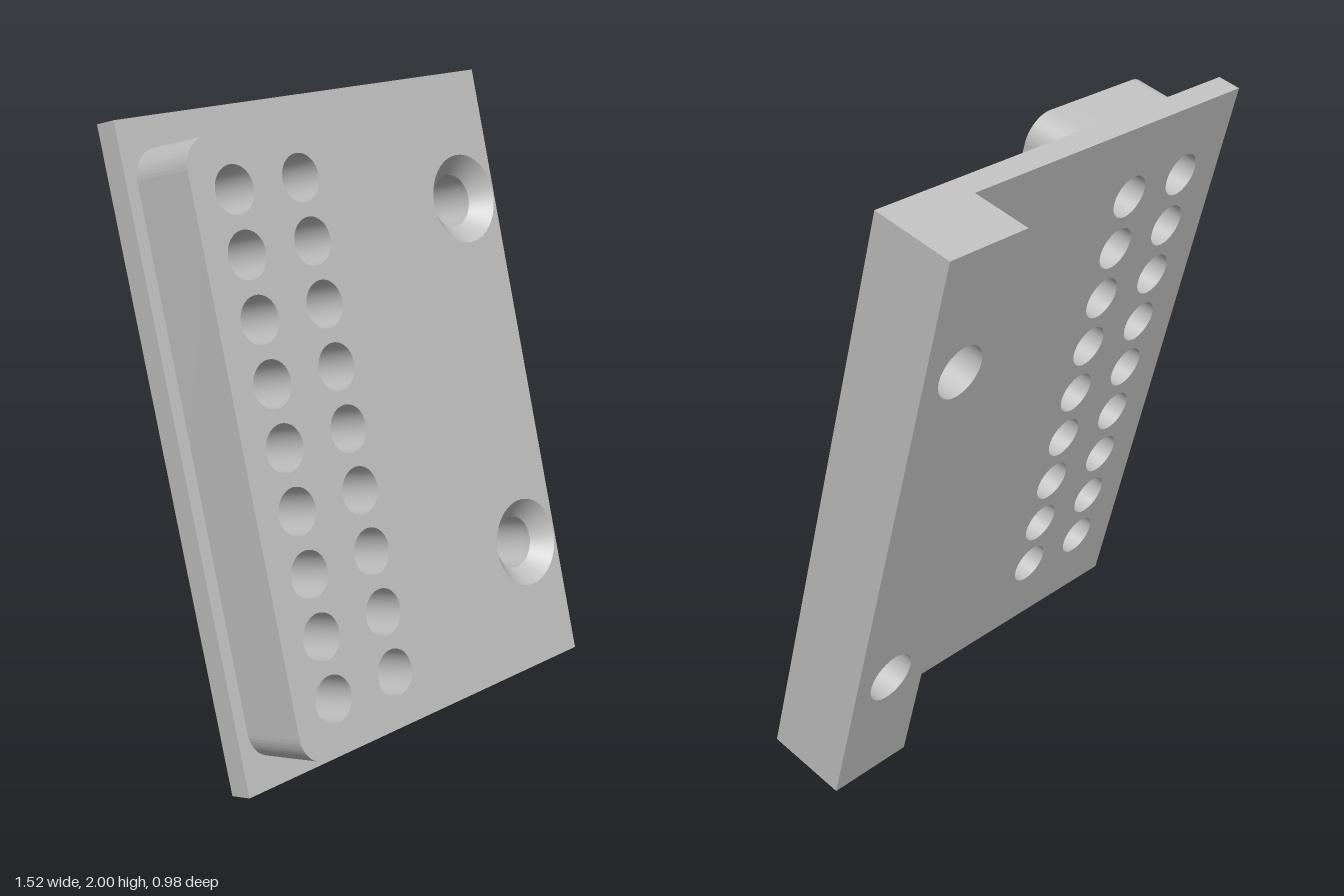
import * as THREE from 'three';
import { toCreasedNormals } from 'three/addons/utils/BufferGeometryUtils.js';

const HEIGHT = 1.997, MID = HEIGHT / 2;   // plate length along its slope
const PLATE = 0.078, RAIL = 0.197;        // plate thickness, extra rail thickness
const PAD = 0.228;                        // pad thickness
const BORE = 0.086, SINK = 0.145;         // screw hole and countersink radii
const SCREW_X = 0.61, SCREW_YS = [MID - 0.585, MID + 0.585];

// Rectangle with optional rounded corners
function rectangle(x0, x1, y0, y1, r = 0) {
  const s = new THREE.Shape();
  if (r === 0) {
    s.moveTo(x0, y0).lineTo(x1, y0).lineTo(x1, y1).lineTo(x0, y1);
  } else {
    s.absarc(x1 - r, y0 + r, r, -Math.PI / 2, 0);
    s.absarc(x1 - r, y1 - r, r, 0, Math.PI / 2);
    s.absarc(x0 + r, y1 - r, r, Math.PI / 2, Math.PI);
    s.absarc(x0 + r, y0 + r, r, Math.PI, Math.PI * 1.5);
  }
  s.closePath();
  return s;
}

function addHole(shape, x, y, r) {
  shape.holes.push(new THREE.Path().absarc(x, y, r, 0, Math.PI * 2, true));
}

// Two columns of nine round holes
function addGrid(shape) {
  for (const x of [-0.565, -0.308]) {
    for (let i = -4; i <= 4; i++) addHole(shape, x, MID + i * 0.1864, 0.072);
  }
}

export function createModel() {
  const model = new THREE.Group();
  model.name = 'tiltedHolePlate';
  const grey = new THREE.MeshStandardMaterial({ color: 0xc0c0c0, side: THREE.DoubleSide });
  grey.name = 'light grey';

  // Everything is built upright, then leaned back 15 degrees
  const body = new THREE.Group();
  body.name = 'leaningBody';
  body.rotation.x = -Math.PI / 12;
  body.position.set(0, 0.071, 0.294);
  model.add(body);

  const add = (name, geometry) => {
    const mesh = new THREE.Mesh(toCreasedNormals(geometry, 0.6), grey);
    mesh.name = name;
    body.add(mesh);
    return mesh;
  };
  const slab = (name, shape, z, depth) => {
    const g = new THREE.ExtrudeGeometry(shape, { depth, bevelEnabled: false, curveSegments: 20 });
    add(name, g.translate(0, 0, z));
  };

  // Thin main plate, front surface at z = 0
  const plate = rectangle(-0.76, 0.76, 0, HEIGHT);
  addGrid(plate);
  for (const y of SCREW_YS) addHole(plate, SCREW_X, y, SINK);
  slab('plate', plate, -PLATE, PLATE);

  // Thick mounting rail behind one edge
  const rail = rectangle(0.455, 0.76, 0, HEIGHT);
  for (const y of SCREW_YS) addHole(rail, SCREW_X, y, BORE);
  slab('mountingRail', rail, -PLATE - RAIL, RAIL);

  // Raised pad with rounded corners
  const pad = rectangle(-0.72, -0.147, 0.092, HEIGHT - 0.092, 0.09);
  addGrid(pad);
  slab('raisedPad', pad, 0, PAD);

  // Countersunk linings of the screw holes, wound to face inward
  const profile = [[SINK, 0], [BORE, BORE - SINK], [BORE, -PLATE]]
    .map(([r, y]) => new THREE.Vector2(r, y));
  for (const y of SCREW_YS) {
    const lining = new THREE.LatheGeometry(profile, 40);
    add('countersink', lining.rotateX(Math.PI / 2).translate(SCREW_X, y, 0));
  }
  return model;
}
